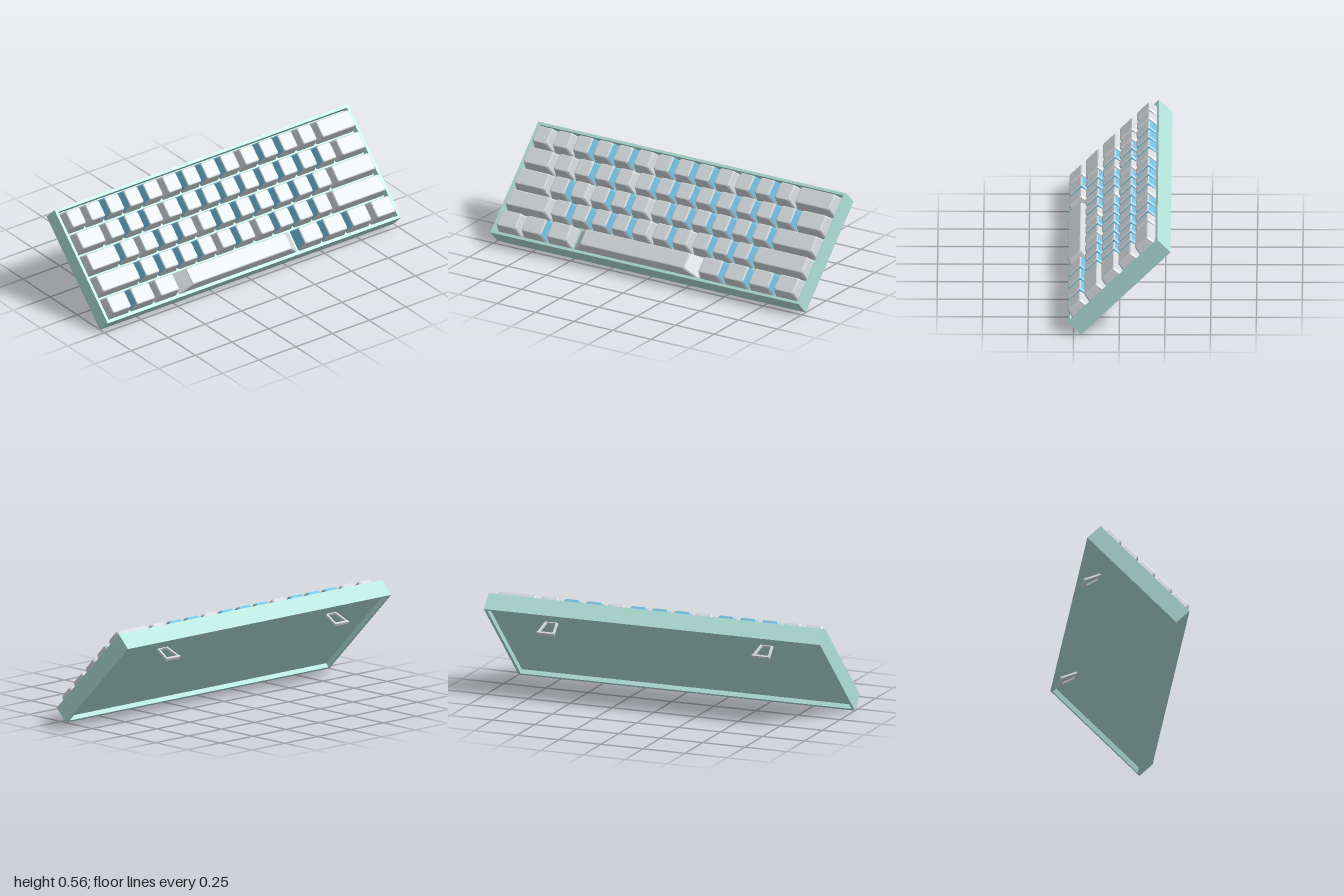
import * as THREE from 'three';

const U = 0.131; // pitch of one key unit

function material(name, color) {
  const m = new THREE.MeshStandardMaterial({ color });
  m.name = name;
  return m;
}

function rectangle(w, h, Type = THREE.Shape) {
  return new Type([[-1, -1], [1, -1], [1, 1], [-1, 1]].map(([x, y]) => new THREE.Vector2(x * w / 2, y * h / 2)));
}

// Tapered keycap lofted through chamfered rectangles; painted caps get a second group
function keycapGeometry(width, depth, painted, taper) {
  const ring = (y, insetX, insetZ, c) => {
    const a = width / 2 - insetX, b = depth / 2 - insetZ;
    return [[a - c, b], [a, b - c], [a, c - b], [a - c, -b], [c - a, -b], [-a, c - b], [-a, b - c], [c - a, b]]
      .map(([x, z]) => [x, y, z]);
  };
  const rings = [
    ring(0.015, 0.005, 0.005, 0.006),
    ring(0.086, taper, 0.016, 0.008),
    ring(0.0915, taper + 0.003, 0.0185, 0.009),
    ring(0.093, taper + 0.008, 0.023, 0.009),
  ];
  const plain = [], colored = [];
  for (let j = 0; j < 3; j++) {
    for (let i = 0; i < 8; i++) {
      const n = (i + 1) % 8, lo = rings[j], hi = rings[j + 1];
      const side = painted && j === 0 && i >= 1 && i <= 5; // left, back and right flanks
      (side ? colored : plain).push(...lo[i], ...lo[n], ...hi[n], ...lo[i], ...hi[n], ...hi[i]);
    }
  }
  const top = rings[3];
  for (let i = 0; i < 8; i++) plain.push(0, 0.093, 0, ...top[i], ...top[(i + 1) % 8]);
  const geo = new THREE.BufferGeometry();
  geo.setAttribute('position', new THREE.Float32BufferAttribute([...plain, ...colored], 3));
  geo.addGroup(0, plain.length / 3, 0);
  if (colored.length) geo.addGroup(plain.length / 3, colored.length / 3, 1);
  geo.computeVertexNormals();
  return geo;
}

export function createModel() {
  const mint = material('mint case', 0xb0e0d8);
  const grey = material('light grey keycap', 0xd3d9dc);
  const blue = material('sky blue print', 0x74c0e2);

  const model = new THREE.Group();
  model.name = 'keyboard';
  const board = new THREE.Group();
  board.name = 'tiltedBoard';
  board.rotation.x = Math.PI / 4;
  board.position.y = 0.2805;
  model.add(board);

  const add = (name, geo, mat, parent = board) => {
    const mesh = new THREE.Mesh(geo, mat);
    mesh.name = name;
    parent.add(mesh);
    return mesh;
  };

  // Case walls, open above and below
  const wall = rectangle(2, 0.693);
  wall.holes.push(rectangle(1.968, 0.661, THREE.Path));
  const wallGeo = new THREE.ExtrudeGeometry(wall, { depth: 0.103, bevelEnabled: false });
  wallGeo.rotateX(-Math.PI / 2);
  wallGeo.translate(0, -0.0515, 0);
  add('caseWalls', wallGeo, mint);

  // Floor plate between the key well and the recessed underside
  const plate = add('casePlate', new THREE.BoxGeometry(1.98, 0.03, 0.672), mint);
  plate.position.y = -0.009;

  // Key rows from back to front: widths in units, and the keys with painted flanks
  const ones = (n) => Array(n).fill(1);
  const rows = [
    { widths: [...ones(13), 2], painted: [2, 3, 4, 6, 7, 8, 10, 11] },
    { widths: [1.5, ...ones(12), 1.5], painted: [2, 3, 5, 6, 7, 8, 9, 10, 11, 12] },
    { widths: [1.75, ...ones(11), 2.25], painted: [1, 3, 4, 6, 7, 8, 9, 10, 11] },
    { widths: [2.25, ...ones(10), 2.75], painted: [1, 2, 3, 4, 6, 8, 9, 10] },
    { widths: [1.25, 1.25, 1.25, 6.25, 1.25, 1.25, 1.25, 1.25], painted: [1, 4, 5, 6] },
  ];
  rows.forEach(({ widths, painted }, r) => {
    const row = new THREE.Group();
    row.name = 'keyRow' + (r + 1);
    row.position.z = (r - 2) * U;
    board.add(row);
    let x = -7.5 * U;
    widths.forEach((w, i) => {
      const bar = w > 4;
      const geo = keycapGeometry(w * U, U, painted.includes(i), bar ? 0.07 : 0.019);
      add(bar ? 'spaceBar' : 'keycap', geo, [grey, blue], row).position.x = x + w * U / 2;
      x += w * U;
    });
  });

  // Fold-out feet: open trapezoid frames leaning backwards
  const trapezoid = (Type, topW, endW, y0, y1) => new Type([
    new THREE.Vector2(-topW / 2, y0), new THREE.Vector2(-endW / 2, y1),
    new THREE.Vector2(endW / 2, y1), new THREE.Vector2(topW / 2, y0),
  ]);
  const footShape = trapezoid(THREE.Shape, 0.075, 0.105, 0, -0.104);
  footShape.holes.push(trapezoid(THREE.Path, 0.051, 0.077, -0.012, -0.09));
  const footGeo = new THREE.ExtrudeGeometry(footShape, { depth: 0.011, bevelEnabled: false });
  footGeo.translate(0, 0, -0.0055);
  for (const side of [-1, 1]) {
    const foot = new THREE.Group();
    foot.name = side > 0 ? 'leftFoot' : 'rightFoot';
    foot.position.set(side * 0.64, -0.02, -0.224);
    foot.rotation.x = 0.335;
    board.add(foot);
    add('footFrame', footGeo, grey, foot);
    add('footPad', new THREE.BoxGeometry(0.105, 0.012, 0.015), grey, foot).position.y = -0.099;
  }
  return model;
}
